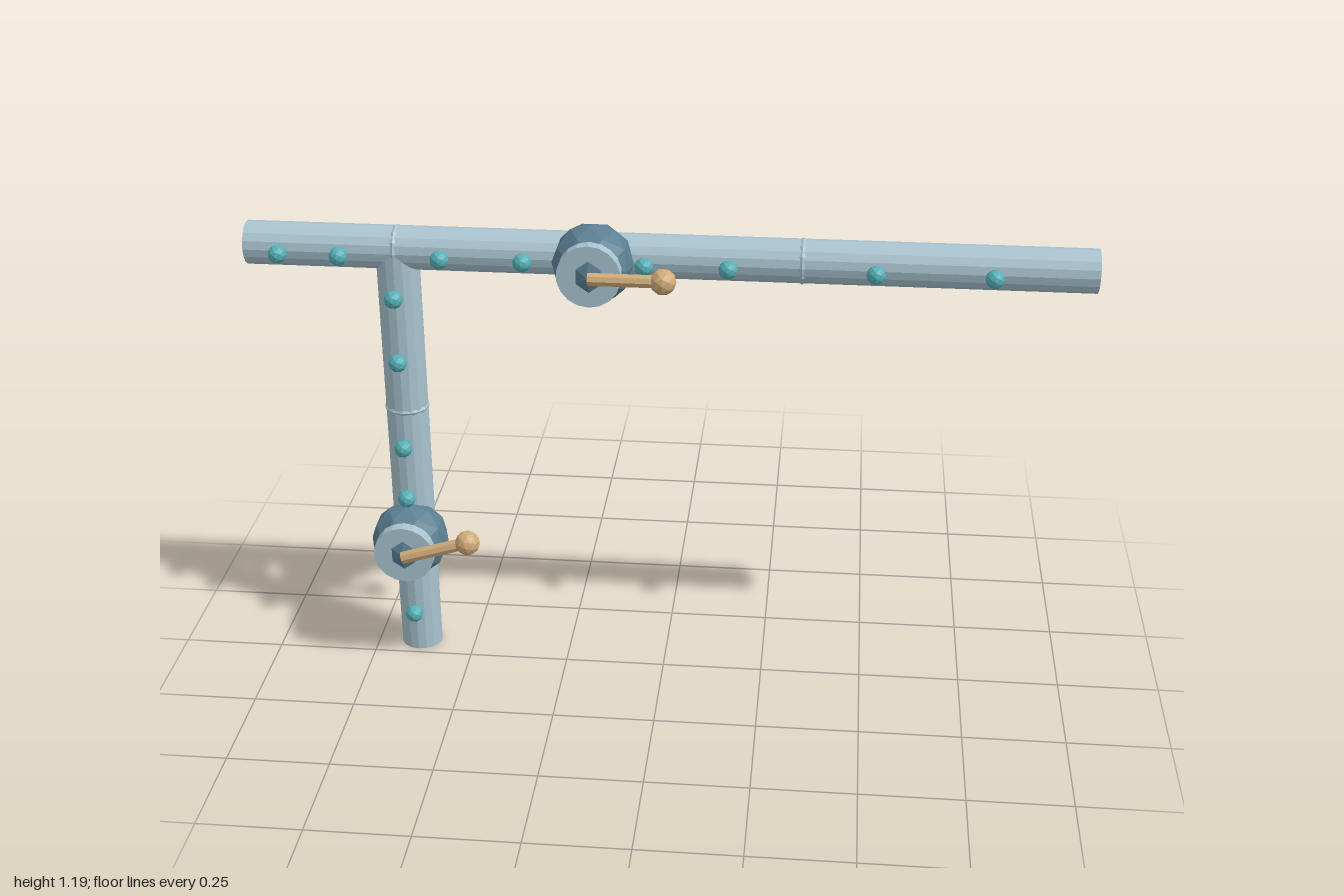
import * as THREE from 'three';

export function createModel() {
  const root = new THREE.Group();
  root.name = 'pipework';
  const mat = (name, color) => {
    const m = new THREE.MeshStandardMaterial({ color, flatShading: true });
    m.name = name;
    return m;
  };
  const pale = mat('paleSteel', 0xa9c4d0);
  const slate = mat('slateBlue', 0x5b7f92);
  const teal = mat('teal', 0x55b0b6);
  const tan = mat('tan', 0xd0ab7a);

  const add = (parent, name, geo, material, x, y, z) => {
    const m = new THREE.Mesh(geo, material);
    m.name = name;
    m.position.set(x, y, z);
    parent.add(m);
    return m;
  };

  const R = 0.052, PZ = -0.068, PX = -0.64, PY = 1.095;

  // Two pipes joined in a tee
  add(root, 'crossPipe', new THREE.CylinderGeometry(R, R, 2, 16).rotateZ(Math.PI / 2), pale, 0, PY, PZ);
  add(root, 'uprightPipe', new THREE.CylinderGeometry(R, R, PY, 16), pale, PX, PY / 2, PZ);

  // Joint collars that barely break the pipe surface
  const collar = new THREE.TorusGeometry(0.0405, 0.015, 6, 12);
  for (const x of [PX, -0.165, 0.32])
    add(root, 'crossCollar', collar, pale, x, PY, PZ).rotation.y = Math.PI / 2;
  for (const y of [0.335, 0.68])
    add(root, 'uprightCollar', collar, pale, PX, y, PZ).rotation.x = Math.PI / 2;

  // Rows of beads along the front
  const bead = new THREE.IcosahedronGeometry(0.0225, 1);
  for (const x of [-0.91, -0.765, -0.525, -0.33, -0.045, 0.15, 0.49, 0.76])
    add(root, 'crossBead', bead, teal, x, PY, 0.005);
  for (const y of [0.12, 0.255, 0.455, 0.595, 0.825, 0.99])
    add(root, 'uprightBead', bead, teal, PX, y, 0.005);

  // Faceted valve with a face plate, lever and knob
  const valve = (name, x, y, angle) => {
    const g = new THREE.Group();
    g.name = name;
    g.position.set(x, y, 0);
    add(g, 'valveBody', new THREE.IcosahedronGeometry(0.097, 1), slate, 0, 0, -0.007);
    add(g, 'facePlate', new THREE.CylinderGeometry(0.075, 0.075, 0.03, 18).rotateX(Math.PI / 2), pale, 0, 0, 0.064);
    const lever = new THREE.Group();
    lever.name = 'lever';
    lever.rotation.z = angle;
    lever.position.z = 0.091;
    add(lever, 'leverArm', new THREE.CylinderGeometry(0.016, 0.016, 0.173, 8).rotateZ(Math.PI / 2), tan, 0.0865, 0, 0);
    add(lever, 'leverKnob', new THREE.IcosahedronGeometry(0.031, 1), tan, 0.173, 0, 0);
    g.add(lever);
    root.add(g);
  };
  valve('crossValve', -0.165, PY, 0);
  valve('uprightValve', PX, 0.335, 0.3);

  return root;
}
